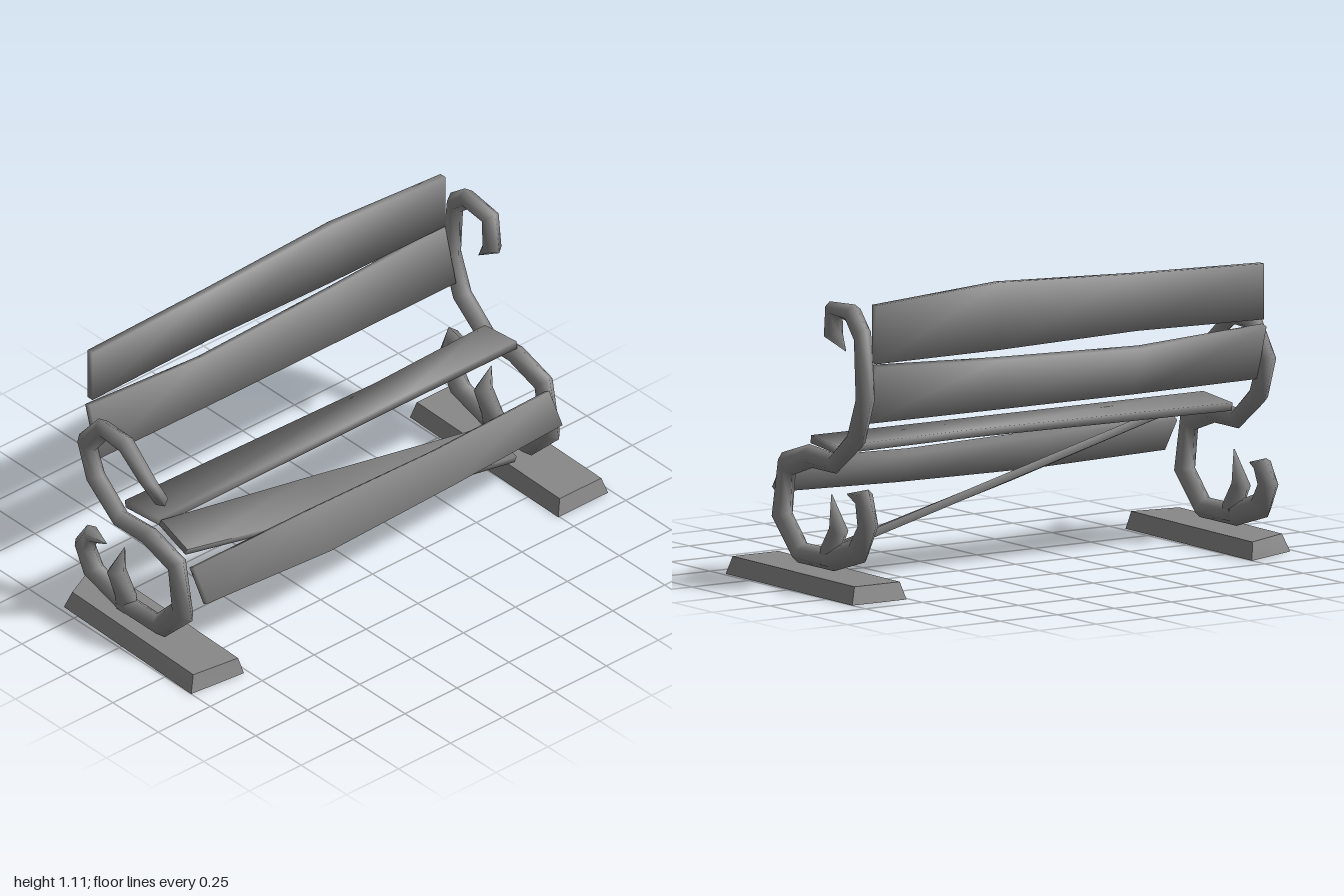
import * as THREE from 'three';
import { toCreasedNormals } from 'three/addons/utils/BufferGeometryUtils.js';

const material = new THREE.MeshStandardMaterial({ color: 0x888888, side: THREE.DoubleSide });
const SMOOTH = 1.7;

// Skin a closed solid over rings of equal corner count; winding is set from the signed volume
function loft(name, rings, crease, openStart = false) {
  const n = rings[0].length, tris = [];
  for (let i = 0; i < rings.length - 1; i++) {
    for (let j = 0; j < n; j++) {
      const k = (j + 1) % n;
      const a = rings[i][j], b = rings[i][k], c = rings[i + 1][k], d = rings[i + 1][j];
      tris.push([a, b, c], [a, c, d]);
    }
  }
  const first = rings[0], last = rings[rings.length - 1];
  for (let j = 1; j < n - 1; j++) {
    if (!openStart) tris.push([first[0], first[j + 1], first[j]]);
    tris.push([last[0], last[j], last[j + 1]]);
  }
  let volume = 0;
  for (const [a, b, c] of tris) volume += a.dot(b.clone().cross(c));
  const pos = [];
  for (const [a, b, c] of tris) {
    for (const p of volume > 0 ? [a, b, c] : [a, c, b]) pos.push(p.x, p.y, p.z);
  }
  const geo = new THREE.BufferGeometry();
  geo.setAttribute('position', new THREE.Float32BufferAttribute(pos, 3));
  const mesh = new THREE.Mesh(toCreasedNormals(geo, crease), material);
  mesh.name = name;
  return mesh;
}

// Wrought band: each row is one edge point, the opposite edge point and z
function band(name, rows) {
  const rings = rows.map(([ax, ay, bx, by, z]) => {
    const A = new THREE.Vector3(ax, ay, z), B = new THREE.Vector3(bx, by, z);
    const h = Math.min(0.03, A.distanceTo(B) * 0.4);
    const at = (t, dz) => A.clone().lerp(B, t).add(new THREE.Vector3(0, 0, dz));
    return [A, at(0.28, h), at(0.72, h), B, at(0.72, -h), at(0.28, -h)];
  });
  return loft(name, rings, SMOOTH);
}

// Slat: each row is z, then the two long edges of its face; t is the thickness
function slat(name, t, rows) {
  const rings = rows.map(([z, ax, ay, bx, by]) => {
    const len = Math.hypot(bx - ax, by - ay);
    const nx = (-(by - ay) / len) * t, ny = ((bx - ax) / len) * t;
    return [[ax, ay], [bx, by], [bx + nx, by + ny], [ax + nx, ay + ny]]
      .map(([x, y]) => new THREE.Vector3(x, y, z));
  });
  return loft(name, rings, SMOOTH);
}

// Foot block with an open underside: corner lists are x, z
function foot(name, bottom, top) {
  const ring = (pts, y) => pts.map(([x, z]) => new THREE.Vector3(x, y, z));
  return loft(name, [ring(bottom, 0), ring(top, 0.065)], 0.3, true);
}

// Lower half of the scroll, shared by both ends
const lowerScroll = [
  [-0.115, 0.43, -0.1, 0.505], [0.04, 0.43, 0.06, 0.515], [0.17, 0.385, 0.235, 0.46],
  [0.18, 0.245, 0.287, 0.22], [0.09, 0.15, 0.135, 0.07], [-0.06, 0.15, -0.1, 0.07],
  [-0.21, 0.2, -0.3, 0.13],
];
const spike = [
  [-0.03, 0.09, -0.12, 0.09], [-0.02, 0.15, -0.135, 0.14],
  [-0.09, 0.24, -0.17, 0.215], [-0.083, 0.35, -0.087, 0.35],
];

function endFrame(name, z, upper, curl) {
  const g = new THREE.Group();
  g.name = name;
  const rest = [...lowerScroll, ...curl].map((r) => [...r, z]);
  g.add(band('scroll', [...upper, ...rest]));
  g.add(band('spike', spike.map((r) => [...r, z])));
  return g;
}

export function createModel() {
  const model = new THREE.Group();
  model.name = 'bench';

  // Scrolled end frames, each with its own bent armrest
  model.add(endFrame('frontEndFrame', 0.9, [
    [-0.012, 0.61, -0.008, 0.614, 0.8], [0.125, 0.635, 0.065, 0.68, 0.89],
    [0.12, 0.75, 0.05, 0.75, 0.94], [-0.04, 0.875, -0.045, 0.8, 0.93],
    [-0.21, 0.86, -0.155, 0.8, 0.915], [-0.335, 0.72, -0.25, 0.69, 0.9],
    [-0.285, 0.55, -0.215, 0.6, 0.895],
  ], [
    [-0.25, 0.25, -0.355, 0.25], [-0.24, 0.29, -0.29, 0.345], [-0.185, 0.313, -0.185, 0.317],
  ]));
  model.add(endFrame('backEndFrame', -0.865, [
    [-0.08, 0.868, -0.08, 0.872, -0.8], [0.01, 0.915, -0.07, 0.93, -0.82],
    [-0.035, 1.05, -0.09, 1.0, -0.84], [-0.22, 1.065, -0.19, 0.993, -0.855],
    [-0.315, 0.99, -0.265, 0.93, -0.87], [-0.355, 0.73, -0.275, 0.73, -0.875],
    [-0.285, 0.55, -0.215, 0.6, -0.87],
  ], [
    [-0.265, 0.26, -0.37, 0.27], [-0.265, 0.325, -0.32, 0.4], [-0.185, 0.363, -0.185, 0.367],
  ]));

  // Back rest slats
  model.add(slat('upperBackSlat', 0.028, [
    [0.86, -0.308, 0.865, -0.308, 1.07], [0.3, -0.308, 0.875, -0.308, 1.085],
    [-0.3, -0.308, 0.862, -0.308, 1.11], [-0.84, -0.308, 0.86, -0.308, 1.075],
  ]));
  model.add(slat('lowerBackSlat', 0.028, [
    [0.87, -0.25, 0.645, -0.31, 0.845], [0.33, -0.25, 0.64, -0.305, 0.815],
    [-0.3, -0.25, 0.64, -0.31, 0.832], [-0.84, -0.25, 0.64, -0.31, 0.855],
  ]));

  // Seat slats, the middle one fallen at the far end
  model.add(slat('rearSeatSlat', 0.03, [
    [0.87, -0.115, 0.498, 0.073, 0.515], [-0.3, -0.08, 0.5, 0.07, 0.515],
    [-0.85, -0.1, 0.498, 0.073, 0.515],
  ]));
  model.add(slat('fallenSeatSlat', 0.03, [
    [0.87, 0.07, 0.515, 0.215, 0.46], [0.1, 0.02, 0.335, 0.185, 0.27],
    [-0.79, -0.03, 0.125, 0.13, 0.073],
  ]));
  model.add(slat('frontSeatSlat', 0.03, [
    [0.87, 0.237, 0.415, 0.315, 0.295], [0.3, 0.237, 0.413, 0.338, 0.277],
    [-0.3, 0.237, 0.4, 0.325, 0.285], [-0.84, 0.237, 0.415, 0.31, 0.302],
  ]));

  // Feet, the front one with a chipped corner
  model.add(foot('frontFoot',
    [[-0.42, 0.75], [0.42, 0.768], [0.395, 1.0], [-0.328, 0.98]],
    [[-0.4, 0.765], [0.405, 0.783], [0.378, 0.975], [-0.308, 0.957]]));
  model.add(foot('backFoot',
    [[-0.415, -1.0], [0.42, -0.985], [0.42, -0.745], [-0.415, -0.762]],
    [[-0.4, -0.98], [0.405, -0.965], [0.405, -0.765], [-0.4, -0.782]]));

  return model;
}
